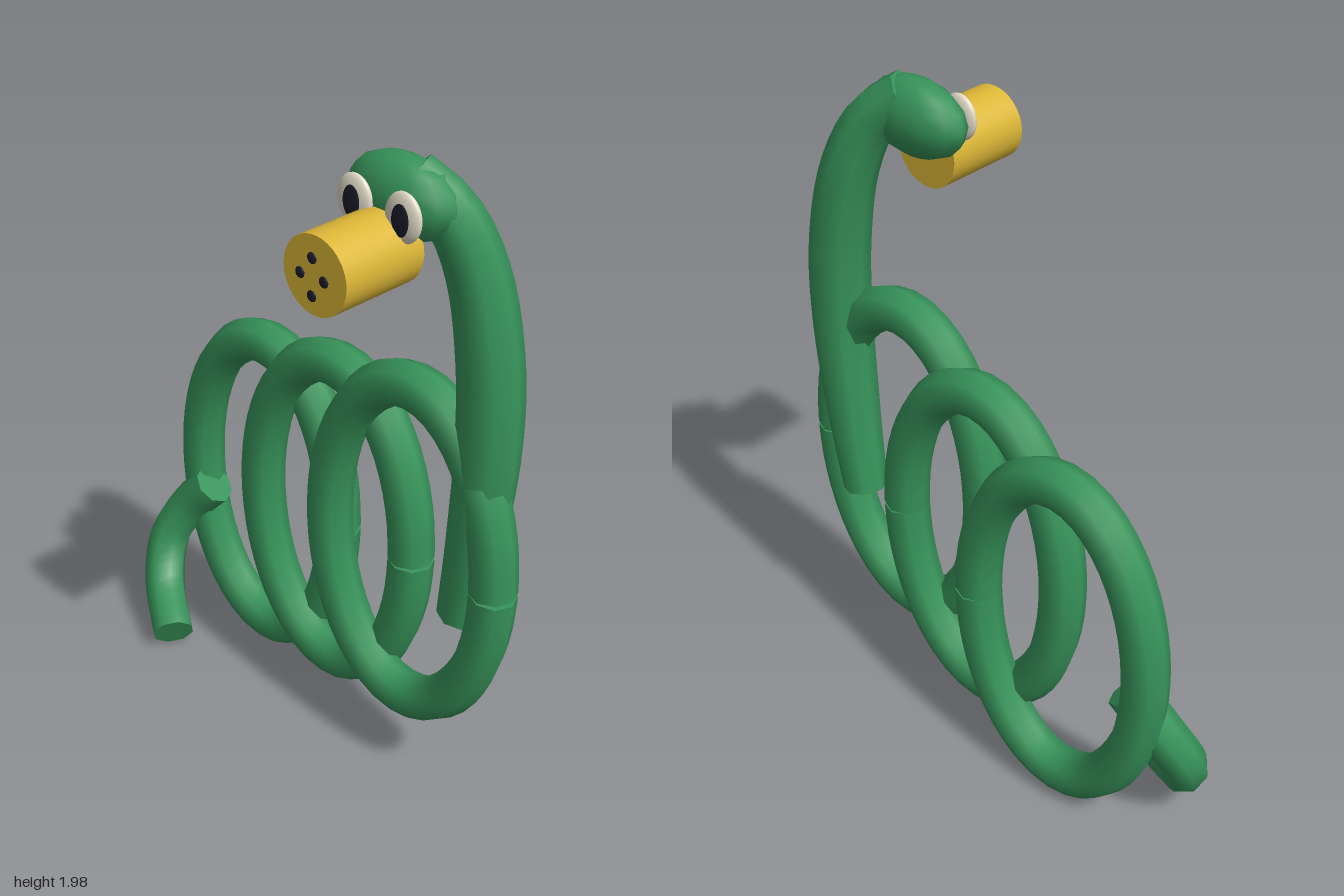
import * as THREE from 'three';

const mat = (name, color) => {
  const m = new THREE.MeshStandardMaterial({ color });
  m.name = name;
  return m;
};

export function createModel() {
  const group = new THREE.Group();
  const green = mat('green', 0x37935a);
  const yellow = mat('yellow', 0xdcb637);
  const cream = mat('cream', 0xe2dac8);
  const dark = mat('dark', 0x1b1c2a);

  const add = (name, geometry, material, pos = [0, 0, 0], scale = [1, 1, 1], parent = group) => {
    const mesh = new THREE.Mesh(geometry, material);
    mesh.name = name;
    mesh.position.set(...pos);
    mesh.scale.set(...scale);
    parent.add(mesh);
    return mesh;
  };

  // Eight-sided capped tube whose radius follows a rule along its length
  const body = (name, points, segments, radiusAt) => {
    const curve = new THREE.CatmullRomCurve3(points.map((p) => new THREE.Vector3(...p)));
    const part = new THREE.Group();
    part.name = name;
    group.add(part);
    const sides = 8;
    const geo = new THREE.TubeGeometry(curve, segments, 1, sides);
    const p = geo.attributes.position;
    const v = new THREE.Vector3();
    for (let i = 0; i < p.count; i++) {
      const t = Math.floor(i / (sides + 1)) / segments;
      const c = curve.getPointAt(t);
      v.fromBufferAttribute(p, i).sub(c).multiplyScalar(radiusAt(t)).add(c);
      p.setXYZ(i, v.x, v.y, v.z);
    }
    add(name + 'Tube', geo, green, [0, 0, 0], [1, 1, 1], part);
    // End caps reuse the first and last rings of the tube
    for (const end of [0, 1]) {
      const c = curve.getPointAt(end);
      const verts = [c.x, c.y, c.z];
      const index = [];
      for (let j = 0; j <= sides; j++) {
        const k = end * segments * (sides + 1) + j;
        verts.push(p.getX(k), p.getY(k), p.getZ(k));
        if (j < sides) index.push(0, j + 1, j + 2);
      }
      const cap = new THREE.BufferGeometry();
      cap.setAttribute('position', new THREE.Float32BufferAttribute(verts, 3));
      cap.setIndex(index);
      // Make the cap face away from the tube
      const tangent = curve.getTangentAt(end).multiplyScalar(end ? 1 : -1);
      cap.computeVertexNormals();
      if (v.fromBufferAttribute(cap.attributes.normal, 0).dot(tangent) < 0) {
        cap.setIndex(index.reverse());
        cap.computeVertexNormals();
      }
      add(name + 'Cap', cap, green, [0, 0, 0], [1, 1, 1], part);
    }
  };

  // Three upright oval coils, each with a hairline seam on its left side
  for (let i = 0; i < 3; i++) {
    const points = [];
    for (let j = 0; j <= 32; j++) {
      const a = 0.006 + (j / 32) * (Math.PI * 2 - 0.012);
      points.push([
        -0.325 + i * 0.355 + 0.309 * Math.cos(a),
        0.593 + i * 0.095 + 0.519 * Math.sin(a),
        -0.233 + i * 0.067,
      ]);
    }
    body('coil' + (i + 1), points, 48, () => 0.068);
  }

  // Raised neck
  body('neck', [
    [0.557, 0.625, -0.135], [0.6, 0.9, -0.125], [0.627, 1.2, -0.118], [0.618, 1.45, -0.115],
    [0.57, 1.7, -0.1], [0.505, 1.85, -0.065], [0.41, 1.935, -0.02],
  ], 28, (t) => 0.068 + 0.022 * Math.sin(Math.PI * Math.min(t * 1.0, 1)));

  // Tail curling forward
  body('tail', [
    [-0.555, 0.51, -0.205], [-0.65, 0.4, -0.18], [-0.7, 0.27, -0.125],
    [-0.65, 0.145, -0.055], [-0.5, 0.062, 0.042],
  ], 16, () => 0.068);

  // Head and snout
  add('head', new THREE.SphereGeometry(1, 12, 8), green, [0.385, 1.873, -0.018], [0.175, 0.112, 0.085]);
  const snout = new THREE.CylinderGeometry(0.106, 0.106, 0.272, 32);
  snout.rotateX(Math.PI / 2);
  add('snout', snout, yellow, [0.385, 1.758, 0.15]);

  // Eyes with pupils
  const ball = new THREE.SphereGeometry(1, 24, 16);
  for (const [side, x] of [['right', 0.305], ['left', 0.467]]) {
    add(side + 'Eye', ball, cream, [x, 1.867, 0.068], [0.058, 0.067, 0.02]);
    add(side + 'Pupil', ball, dark, [x + 0.003, 1.865, 0.085], [0.028, 0.043, 0.0045]);
  }

  // Four small dots just ahead of the snout
  for (let i = 0; i < 4; i++) {
    const a = (i * Math.PI) / 2;
    add('snoutDot', ball, dark,
      [0.385 + 0.04 * Math.cos(a), 1.758 + 0.05 * Math.sin(a), 0.296], [0.015, 0.015, 0.0045]);
  }

  return group;
}
